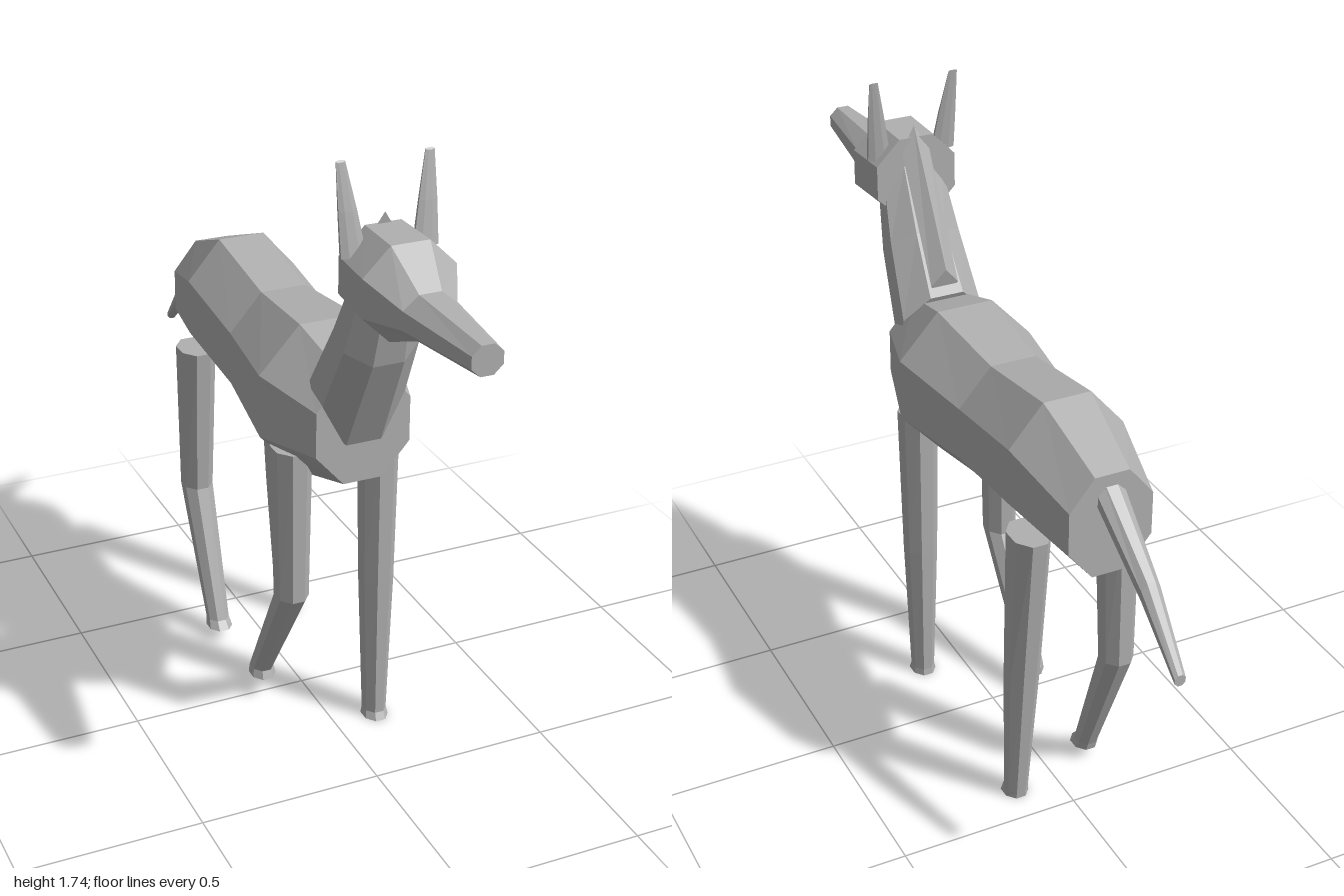
import * as THREE from 'three';

const coat = new THREE.MeshStandardMaterial({ color: 0xb0b0b0, flatShading: true });
coat.name = 'grey coat';

// Closed loft. Each section is [centre x, half width, [z, y] of lower/back edge, [z, y] of upper/front edge].
function loft(name, sections, sides = 8) {
  const flat = sides > 4;
  const radius = flat ? 1 / Math.cos(Math.PI / sides) : 1;
  const rings = sections.map(([x, hw, a, b]) =>
    Array.from({ length: sides }, (_, i) => {
      const t = ((i + (flat ? 0.5 : 0)) * 2 * Math.PI) / sides;
      const s = (radius * Math.sin(t) + 1) / 2;
      return [x + hw * radius * Math.cos(t), a[1] + (b[1] - a[1]) * s, a[0] + (b[0] - a[0]) * s];
    }));
  const pos = [];
  const tri = (...points) => points.forEach((p) => pos.push(...p));
  for (let k = 0; k < rings.length - 1; k++) {
    for (let i = 0; i < sides; i++) {
      const j = (i + 1) % sides;
      tri(rings[k][i], rings[k][j], rings[k + 1][j]);
      tri(rings[k][i], rings[k + 1][j], rings[k + 1][i]);
    }
  }
  const first = rings[0], last = rings[rings.length - 1];
  for (let i = 1; i < sides - 1; i++) {
    tri(first[0], first[i + 1], first[i]);
    tri(last[0], last[i], last[i + 1]);
  }
  const geometry = new THREE.BufferGeometry();
  geometry.setAttribute('position', new THREE.Float32BufferAttribute(pos, 3));
  geometry.computeVertexNormals();
  const mesh = new THREE.Mesh(geometry, coat);
  mesh.name = name;
  return mesh;
}

// Upright section at depth z between two heights
const upright = (z, low, high, hw) => [0, hw, [z, low], [z, high]];

// Leg from rows of [y, back z, front z, half width, centre x], top to hoof
const leg = (name, side, rows) =>
  loft(name, rows.map(([y, back, front, hw, x]) => [side * x, hw, [back, y], [front, y]]));

export function createModel() {
  const model = new THREE.Group();
  model.name = 'hoofedAnimal';

  // Trunk, rump to chest
  model.add(loft('body', [
    upright(-0.65, 0.845, 1.13, 0.115),
    upright(-0.415, 0.845, 1.22, 0.16),
    upright(-0.12, 0.82, 1.175, 0.155),
    upright(0.17, 0.78, 1.2, 0.193),
    upright(0.385, 0.84, 1.14, 0.13),
  ]));

  // Neck, with its lower end sunk into the chest
  model.add(loft('neck', [
    [0, 0.117, [0.388, 0.95], [0.285, 1.18]],
    [0, 0.102, [0.52, 1.22], [0.385, 1.33]],
    [0, 0.086, [0.565, 1.4], [0.475, 1.49]],
  ]));

  // Ridge of hair down the back of the neck
  model.add(loft('mane', [
    [0, 0.04, [0.31, 1.16], [0.288, 1.255]],
    [0, 0.04, [0.47, 1.47], [0.485, 1.6]],
  ], 4));

  // Skull and long muzzle
  model.add(loft('head', [
    upright(0.475, 1.34, 1.57, 0.115),
    upright(0.62, 1.33, 1.57, 0.122),
    upright(0.725, 1.37, 1.485, 0.07),
    upright(1.0, 1.395, 1.47, 0.04),
  ]));

  // Tail, tip to root
  model.add(loft('tail', [
    upright(-1.0, 0.74, 0.77, 0.015),
    upright(-0.85, 0.875, 0.94, 0.026),
    upright(-0.62, 1.045, 1.12, 0.04),
  ]));

  // Thin upright ears
  for (const side of [1, -1]) {
    model.add(loft(side > 0 ? 'leftEar' : 'rightEar', [
      [side * 0.115, 0.012, [0.479, 1.74], [0.483, 1.735]],
      [side * 0.104, 0.024, [0.49, 1.62], [0.505, 1.62]],
      [side * 0.094, 0.033, [0.5, 1.51], [0.522, 1.51]],
    ]));
  }

  // Standing legs on the left
  model.add(leg('leftFrontLeg', 1, [
    [0.885, 0.155, 0.275, 0.05, 0.125],
    [0.44, 0.168, 0.268, 0.043, 0.124],
    [0.02, 0.186, 0.258, 0.03, 0.123],
    [0, 0.184, 0.27, 0.034, 0.122],
  ]));
  model.add(leg('leftHindLeg', 1, [
    [0.885, -0.525, -0.392, 0.05, 0.125],
    [0.44, -0.475, -0.378, 0.043, 0.124],
    [0.02, -0.427, -0.363, 0.03, 0.123],
    [0, -0.425, -0.345, 0.034, 0.122],
  ]));

  // Stepping legs on the right, bent at the joint
  model.add(leg('rightFrontLeg', -1, [
    [0.885, 0.155, 0.275, 0.05, 0.125],
    [0.44, 0.165, 0.265, 0.042, 0.125],
    [0.09, -0.037, 0.037, 0.03, 0.124],
    [0.067, -0.038, 0.046, 0.034, 0.124],
  ]));
  model.add(leg('rightHindLeg', -1, [
    [0.885, -0.53, -0.4, 0.05, 0.125],
    [0.44, -0.532, -0.435, 0.042, 0.125],
    [0.06, -0.372, -0.305, 0.03, 0.124],
    [0.037, -0.366, -0.284, 0.034, 0.124],
  ]));

  return model;
}
